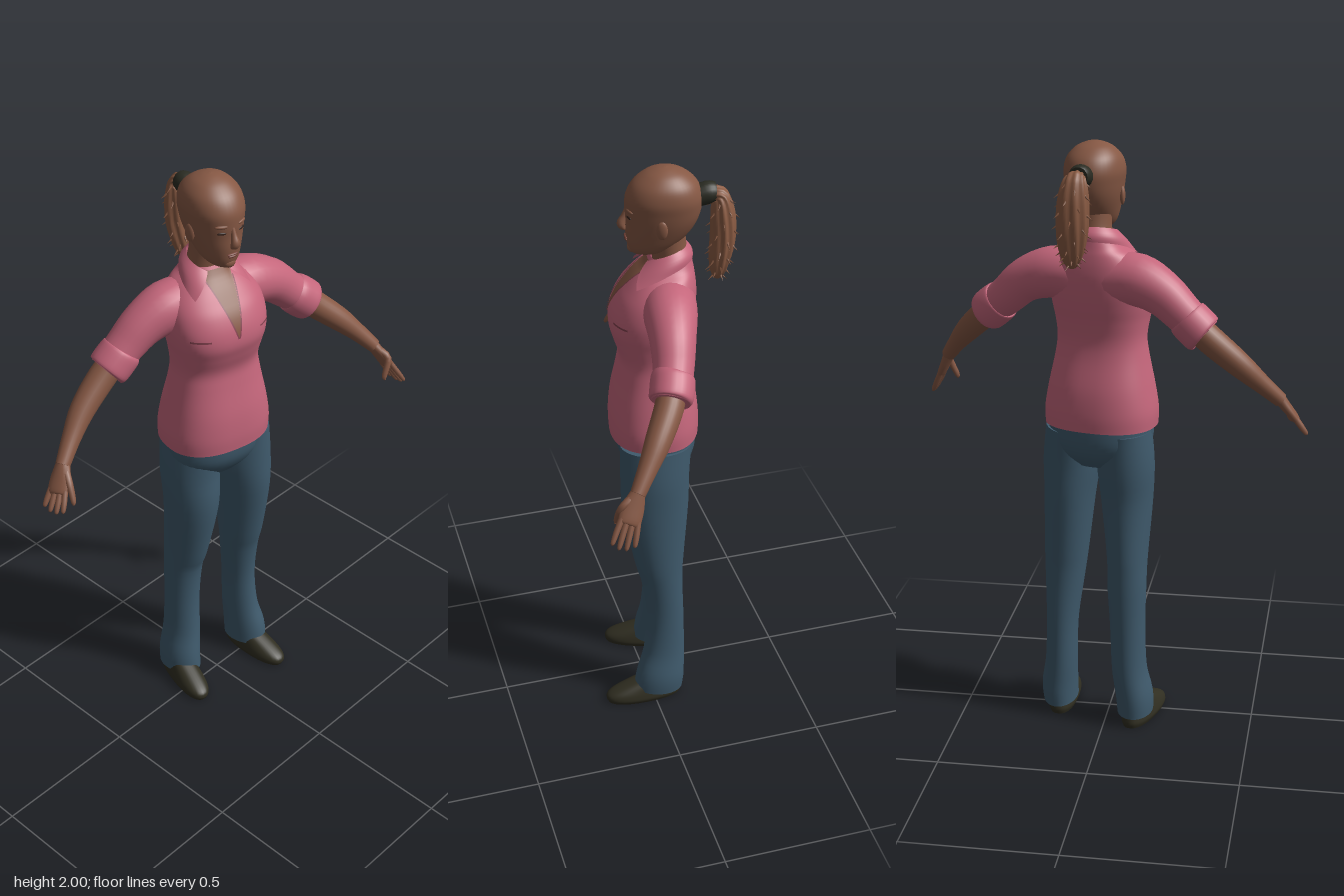
import * as THREE from 'three';

const V = (x, y, z) => new THREE.Vector3(x, y, z);
const mat = (name, color) => {
  const m = new THREE.MeshStandardMaterial({ color, side: THREE.DoubleSide });
  m.name = name;
  return m;
};

// Catmull-Rom interpolation of a row of numbers at position u
function spline(rows, u) {
  const last = rows.length - 1, i = Math.min(Math.floor(u), last - 1), k = u - i;
  const [a, b, c, d] = [i - 1, i, i + 1, i + 2].map(n => rows[Math.max(0, Math.min(last, n))]);
  return b.map((_, n) => 0.5 * (2 * b[n] + (c[n] - a[n]) * k + (2 * a[n] - 5 * b[n] + 4 * c[n] - d[n]) * k * k
    + (3 * b[n] - a[n] - 3 * c[n] + d[n]) * k * k * k));
}

// Skin closed rings into a smooth surface with flat end caps
function loft(rings, caps = true) {
  const n = rings[0].length, pos = [], idx = [];
  rings.forEach(r => r.forEach(p => pos.push(p.x, p.y, p.z)));
  for (let i = 0; i < rings.length - 1; i++) for (let j = 0; j < n; j++) {
    const a = i * n + j, b = i * n + (j + 1) % n;
    idx.push(a, b, b + n, a, b + n, a + n);
  }
  if (caps) [rings[0], rings[rings.length - 1]].forEach((r, top) => {
    const base = pos.length / 3, c = V(0, 0, 0);
    r.forEach(p => { pos.push(p.x, p.y, p.z); c.addScaledVector(p, 1 / n); });
    pos.push(c.x, c.y, c.z);
    for (let j = 0; j < n; j++) {
      const k = (j + 1) % n;
      idx.push(base + n, base + (top ? j : k), base + (top ? k : j));
    }
  });
  return finish(pos, idx);
}

function finish(pos, idx) {
  const g = new THREE.BufferGeometry();
  g.setAttribute('position', new THREE.Float32BufferAttribute(pos, 3));
  g.setIndex(idx);
  g.computeVertexNormals();
  return g;
}

// Open sheet from f(s, t), both 0..1
function sheet(nu, nv, f) {
  const pos = [], idx = [];
  for (let i = 0; i <= nv; i++) for (let j = 0; j <= nu; j++) {
    pos.push(...f(j / nu, i / nv));
    if (i < nv && j < nu) {
      const a = i * (nu + 1) + j, d = a + nu + 1;
      idx.push(a, a + 1, d + 1, a, d + 1, d);
    }
  }
  return finish(pos, idx);
}

// Upright body: rows of [y, zFront, zBack, halfWidth], rising
function body(rows, power = 2, segs = 40, steps = 5, caps = true) {
  const rings = [], pw = s => Math.sign(s) * Math.abs(s) ** (2 / power);
  for (let i = 0; i <= (rows.length - 1) * steps; i++) {
    const [y, f, b, w] = spline(rows, i / steps);
    rings.push(Array.from({ length: segs }, (_, j) => {
      const a = j / segs * Math.PI * 2;
      return V(w * pw(Math.sin(a)), y, (f + b) / 2 + (f - b) / 2 * pw(Math.cos(a)));
    }));
  }
  return loft(rings, caps);
}

// Limb: rows of [x, y, z, radiusAcross, radiusOther] along a path
function limb(rows, across = V(0, 0, 1), segs = 24, steps = 4, ridge = 0) {
  const rings = [], end = rows.length - 1;
  for (let i = 0; i <= end * steps; i++) {
    const u = i / steps, r = spline(rows, u);
    const p = V(...r), t = V(...spline(rows, Math.min(end, u + 0.05))).sub(V(...spline(rows, Math.max(0, u - 0.05)))).normalize();
    const x = across.clone().addScaledVector(t, -across.dot(t)).normalize(), w = x.clone().cross(t);
    rings.push(Array.from({ length: segs }, (_, j) => {
      const a = j / segs * Math.PI * 2, k = 1 + ridge * Math.cos(a * 9 + u);
      return p.clone().addScaledVector(x, Math.sin(a) * r[3] * k).addScaledVector(w, Math.cos(a) * r[4] * k);
    }));
  }
  return loft(rings);
}
const round = rows => rows.map(([x, y, z, r]) => [x, y, z, r, r]);

const TORSO = [[1.065, .19, -.105, .187], [1.12, .192, -.105, .188], [1.2, .185, -.095, .175], [1.3, .165, -.07, .155],
  [1.36, .158, -.063, .148], [1.42, .175, -.07, .155], [1.47, .188, -.08, .165], [1.52, .182, -.088, .17],
  [1.57, .16, -.092, .165], [1.61, .13, -.09, .15], [1.645, .1, -.085, .12], [1.67, .075, -.08, .085], [1.7, .055, -.075, .062]];

// Point on the shirt front at height y and sideways x, lifted by off
function onChest(x, y, off) {
  let i = TORSO.findIndex(r => r[0] > y) - 1;
  if (i < 0) i = TORSO.length - 2;
  const [ry, f, b, w] = spline(TORSO, i + (y - TORSO[i][0]) / (TORSO[i + 1][0] - TORSO[i][0]));
  const q = Math.min(.98, Math.abs(x) / w);
  return [x, ry, (f + b) / 2 + (f - b) / 2 * (1 - q ** 2.4) ** (1 / 2.4) + off];
}

export function createModel() {
  const root = new THREE.Group();
  root.name = 'woman';
  const skin = mat('skin', 0x865844), hair = mat('hair', 0x8a5b43), shirt = mat('shirt', 0xc4667b), seam = mat('seam', 0x84424f),
    denim = mat('denim', 0x3f5a6c), leather = mat('shoe', 0x302e21), band = mat('hairBand', 0x2a2b22),
    eyeDark = mat('eye', 0x35231d), lip = mat('lip', 0x77443a);
  const add = (parent, name, geo, m) => {
    const mesh = new THREE.Mesh(geo, m);
    mesh.name = name;
    parent.add(mesh);
    return mesh;
  };
  const group = (name, x, z, yaw) => {
    const g = new THREE.Group();
    g.name = name;
    g.position.set(x, 0, z);
    g.rotation.y = yaw;
    root.add(g);
    return g;
  };

  // Shirt body, neck opening, collar and pocket seams
  const torso = group('torso', .03, -.08, -.22);
  add(torso, 'shirtBody', body(TORSO, 2.4, 56, 5, false), shirt);
  add(torso, 'neckOpening', sheet(10, 16, (s, t) => onChest((s * 2 - 1) * (.002 + .052 * t), 1.5 + .19 * t, .004)), skin);
  add(torso, 'collar', sheet(48, 6, (s, t) => {
    const k = s * 2 - 1, a = Math.PI + k * (2.6 - .3 * t);
    const r = .066 + t * (.022 + .054 * k ** 4) + .008 * Math.sin(t * Math.PI);
    return [r * Math.sin(a), 1.737 - .045 * k * k - t * (.045 + .022 * k ** 4), .008 + r * Math.cos(a)];
  }), shirt);
  for (const s of [-1, 1]) {
    add(torso, 'pocketSeam', sheet(8, 1, (u, v) => onChest(s * .12 + (u - .5) * .055, 1.503 + v * .006, .003)), seam);
    add(torso, 'placketEdge', sheet(1, 14, (u, v) =>
      onChest(s * (.002 + .047 * v) + (u - .5) * .005, 1.5 + .165 * v, .007)), seam);
  }

  // Jeans
  add(torso, 'jeansHips', body([[.93, .12, -.05, .09], [.97, .15, -.083, .15], [1.02, .17, -.097, .174], [1.1, .175, -.095, .175]], 2.3), denim);
  const legs = {
    leftLeg: [[.12, 1.05, -.02, .09, .12], [.125, .93, -.015, .097, .116], [.134, .8, -.015, .087, .112], [.145, .6, -.025, .075, .086],
      [.15, .5, -.035, .067, .071], [.158, .35, -.045, .055, .065], [.163, .2, -.04, .055, .073], [.172, .1, -.025, .062, .086], [.17, .04, -.018, .06, .088]],
    rightLeg: [[-.06, 1.05, -.068, .09, .112], [-.064, .93, -.066, .096, .108], [-.068, .8, -.058, .087, .103], [-.072, .6, -.08, .069, .086],
      [-.073, .5, -.095, .066, .071], [-.077, .35, -.1, .06, .066], [-.083, .2, -.098, .06, .072], [-.1, .1, -.092, .064, .082], [-.103, .04, -.088, .062, .084]],
  };
  for (const [name, rows] of Object.entries(legs)) add(root, name, limb(rows, V(1, 0, 0), 32), denim);

  // Shoes
  for (const [name, x, z, yaw] of [['leftShoe', .167, .03, 0], ['rightShoe', -.125, -.045, -.28]])
    add(group(name, x, z, yaw), 'shoeUpper', body([[0, .136, -.128, .046], [.015, .142, -.132, .052], [.032, .134, -.13, .05],
      [.052, .095, -.125, .045], [.085, .01, -.115, .036]], 2.3, 32), leather);

  // Sleeves with rolled cuffs, forearms and hands
  const arms = [{
    side: 'left',
    sleeve: [[.09, 1.565, -.068, .085], [.18, 1.567, -.047, .085], [.27, 1.535, -.028, .073], [.34, 1.475, -.01, .064], [.405, 1.42, .015, .059]],
    cuff: [[.358, 1.459, -.003, .06], [.364, 1.454, 0, .068], [.39, 1.432, .009, .07], [.414, 1.411, .02, .068], [.42, 1.406, .023, .058]],
    fore: [[.37, 1.45, 0, .044], [.43, 1.396, .03, .046], [.5, 1.327, .085, .041], [.55, 1.268, .132, .031], [.592, 1.212, .175, .024]],
    wrist: V(.588, 1.217, .172), knuckle: V(.625, 1.14, .21), tip: V(.66, 1.066, .242), across: V(-.2, .35, .9), thumb: V(.58, 1.108, .243),
  }, {
    side: 'right',
    sleeve: [[-.02, 1.565, -.095, .085], [-.11, 1.565, -.118, .085], [-.19, 1.53, -.14, .073], [-.255, 1.475, -.156, .064], [-.315, 1.42, -.166, .059]],
    cuff: [[-.268, 1.463, -.157, .06], [-.274, 1.457, -.158, .068], [-.3, 1.433, -.163, .07], [-.324, 1.411, -.167, .068], [-.33, 1.406, -.168, .058]],
    fore: [[-.28, 1.45, -.16, .044], [-.35, 1.39, -.17, .046], [-.44, 1.315, -.166, .041], [-.51, 1.25, -.147, .031], [-.573, 1.19, -.123, .024]],
    wrist: V(-.57, 1.195, -.125), knuckle: V(-.62, 1.125, -.1), tip: V(-.658, 1.069, -.084), across: V(.3, .1, .95), thumb: V(-.61, 1.095, -.04),
  }];
  for (const a of arms) {
    add(root, a.side + 'Sleeve', limb(round(a.sleeve)), shirt);
    add(root, a.side + 'Cuff', limb(round(a.cuff)), shirt);
    add(root, a.side + 'Forearm', limb(round(a.fore)), skin);
    const A = a.across.normalize(), at = (p, k, q, f, r, r2 = r) => [...p.clone().lerp(q, k).addScaledVector(A, f).toArray(), r, r2];
    add(root, a.side + 'Palm', limb([at(a.wrist, 0, a.knuckle, 0, .023, .02), at(a.wrist, .5, a.knuckle, .002, .035, .017),
      at(a.wrist, 1, a.knuckle, 0, .036, .014), at(a.wrist, 1.1, a.knuckle, 0, .028, .008)], A, 16), skin);
    for (let i = 0; i < 4; i++) {
      const f = i - 1.5, len = [.82, 1, 1.04, .94][i];
      add(root, a.side + 'Finger', limb([at(a.knuckle, -.1, a.tip, f * .017, .01), at(a.knuckle, .5 * len, a.tip, f * .021, .0095),
        at(a.knuckle, .9 * len, a.tip, f * .023, .007), at(a.knuckle, len, a.tip, f * .024, .002)], A, 8), skin);
    }
    add(root, a.side + 'Thumb', limb([at(a.wrist, .2, a.knuckle, .012, .014), at(a.wrist, .65, a.knuckle, .036, .012),
      at(a.thumb, .12, a.wrist, .004, .009), at(a.thumb, 0, a.wrist, 0, .003)], A, 8), skin);
  }

  // Neck and head
  add(root, 'neck', limb(round([[.033, 1.6, -.095, .062], [.034, 1.68, -.09, .058], [.036, 1.74, -.082, .055], [.037, 1.81, -.075, .057]]), V(1, 0, 0)), skin);
  const head = group('head', .037, -.06, -.19);
  add(head, 'skull', body([[1.712, .085, .02, .018], [1.725, .1, -.015, .042], [1.75, .109, -.05, .06], [1.79, .114, -.088, .074],
    [1.83, .114, -.111, .085], [1.87, .116, -.122, .092], [1.91, .113, -.123, .096], [1.95, .092, -.107, .086],
    [1.98, .056, -.073, .06], [1.995, .022, -.038, .029], [2, -.004, -.012, .004]], 2.1), skin);
  add(head, 'nose', limb([[0, 1.868, .108, .007, .007], [0, 1.84, .117, .009, .01], [0, 1.815, .126, .015, .014], [0, 1.8, .118, .013, .009], [0, 1.794, .112, .004, .003]], V(1, 0, 0), 14), skin);
  const blob = (name, m, p, s) => {
    const b = add(head, name, new THREE.SphereGeometry(1, 16, 12), m);
    b.position.set(...p);
    b.scale.set(...s);
    return b;
  };
  for (const s of [-1, 1]) {
    blob('eye', eyeDark, [s * .036, 1.851, .105], [.015, .005, .004]).rotation.y = s * .38;
    blob('brow', skin, [s * .036, 1.873, .103], [.022, .007, .008]).rotation.y = s * .38;
    blob('ear', skin, [s * .088, 1.828, .008], [.009, .031, .018]).rotation.y = s * -.25;
  }
  blob('upperLip', lip, [0, 1.772, .111], [.021, .004, .007]);
  blob('lowerLip', lip, [0, 1.764, .11], [.017, .005, .007]);
  blob('chin', skin, [0, 1.735, .095], [.022, .018, .014]);

  // Ponytail, band and loose strands
  const tie = add(root, 'hairBand', limb(round([[.058, 1.898, -.165, .034], [.062, 1.908, -.2, .036], [.065, 1.908, -.222, .03]]), V(1, 0, 0), 20), band);
  tie.name = 'hairBand';
  const tail = [[.066, 1.905, -.212, .022, .022], [.072, 1.897, -.236, .036, .026], [.078, 1.84, -.243, .048, .036], [.082, 1.76, -.243, .05, .037],
    [.085, 1.69, -.234, .042, .032], [.086, 1.645, -.228, .028, .022], [.086, 1.622, -.226, .012, .01]];
  add(root, 'ponytail', limb(tail, V(1, 0, 0), 54, 5, .07), hair);
  for (let i = 0; i < 44; i++) {
    const [x, y, z, rx, rz] = spline(tail, 1.1 + 4.5 * i / 44), a = i * 2.4;
    const out = V(Math.sin(a), -.75, Math.cos(a)).normalize();
    const strand = add(root, 'strand', new THREE.ConeGeometry(.007, .042, 5), hair);
    strand.position.set(x + Math.sin(a) * rx, y, z + Math.cos(a) * rz);
    strand.quaternion.setFromUnitVectors(V(0, 1, 0), out);
  }
  return root;
}
